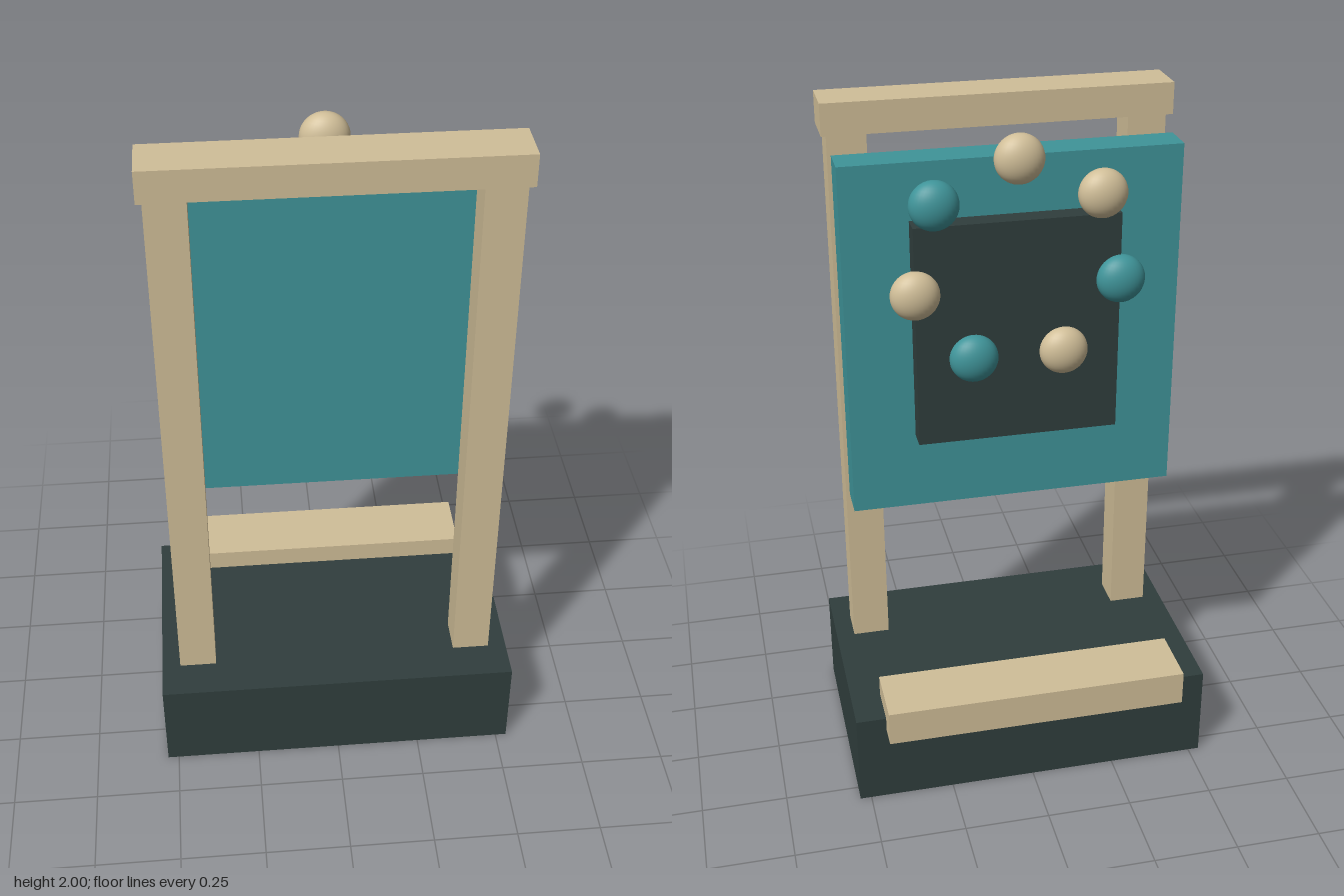
import * as THREE from 'three';

const material = (name, color) => {
  const m = new THREE.MeshStandardMaterial({ color });
  m.name = name;
  return m;
};

export function createModel() {
  const model = new THREE.Group();
  model.name = 'panelStand';
  const wood = material('paleWood', 0xd0be98);
  const teal = material('teal', 0x3f9499);
  const dark = material('darkSlate', 0x303e3d);

  // Box given by its limits on each axis
  const box = (name, mat, [x0, x1], [y0, y1], [z0, z1]) => {
    const mesh = new THREE.Mesh(new THREE.BoxGeometry(x1 - x0, y1 - y0, z1 - z0), mat);
    mesh.position.set((x0 + x1) / 2, (y0 + y1) / 2, (z0 + z1) / 2);
    mesh.name = name;
    model.add(mesh);
  };

  // Base and rear ledge
  box('base', dark, [-0.533, 0.533], [0, 0.285], [-0.302, 0.366]);
  box('ledge', wood, [-0.445, 0.445], [0.243, 0.348], [-0.368, -0.18]);

  // Posts and crossbeam
  box('leftPost', wood, [0.368, 0.478], [0.285, 1.91], [0.145, 0.25]);
  box('rightPost', wood, [-0.478, -0.368], [0.285, 1.91], [0.145, 0.25]);
  box('crossbeam', wood, [-0.493, 0.493], [1.91, 2], [0.127, 0.267]);

  // Panel with a raised plate on its back
  box('panel', teal, [-0.475, 0.475], [0.84, 1.875], [-0.033, 0.071]);
  box('backPlate', dark, [-0.288, 0.288], [1.068, 1.713], [-0.094, -0.033]);

  // Ring of seven flattened knobs, alternating colours from the top
  const ring = new THREE.Group();
  ring.name = 'knobRing';
  ring.position.set(0, 1.59, -0.098);
  const knobGeometry = new THREE.SphereGeometry(0.069, 32, 20).scale(1, 1, 0.67);
  for (let i = 0; i < 7; i++) {
    const a = (i / 7) * Math.PI * 2;
    const knob = new THREE.Mesh(knobGeometry, i % 2 ? teal : wood);
    knob.position.set(0.295 * Math.sin(a), 0.295 * Math.cos(a), 0);
    knob.name = 'knob' + (i + 1);
    ring.add(knob);
  }
  model.add(ring);
  return model;
}
